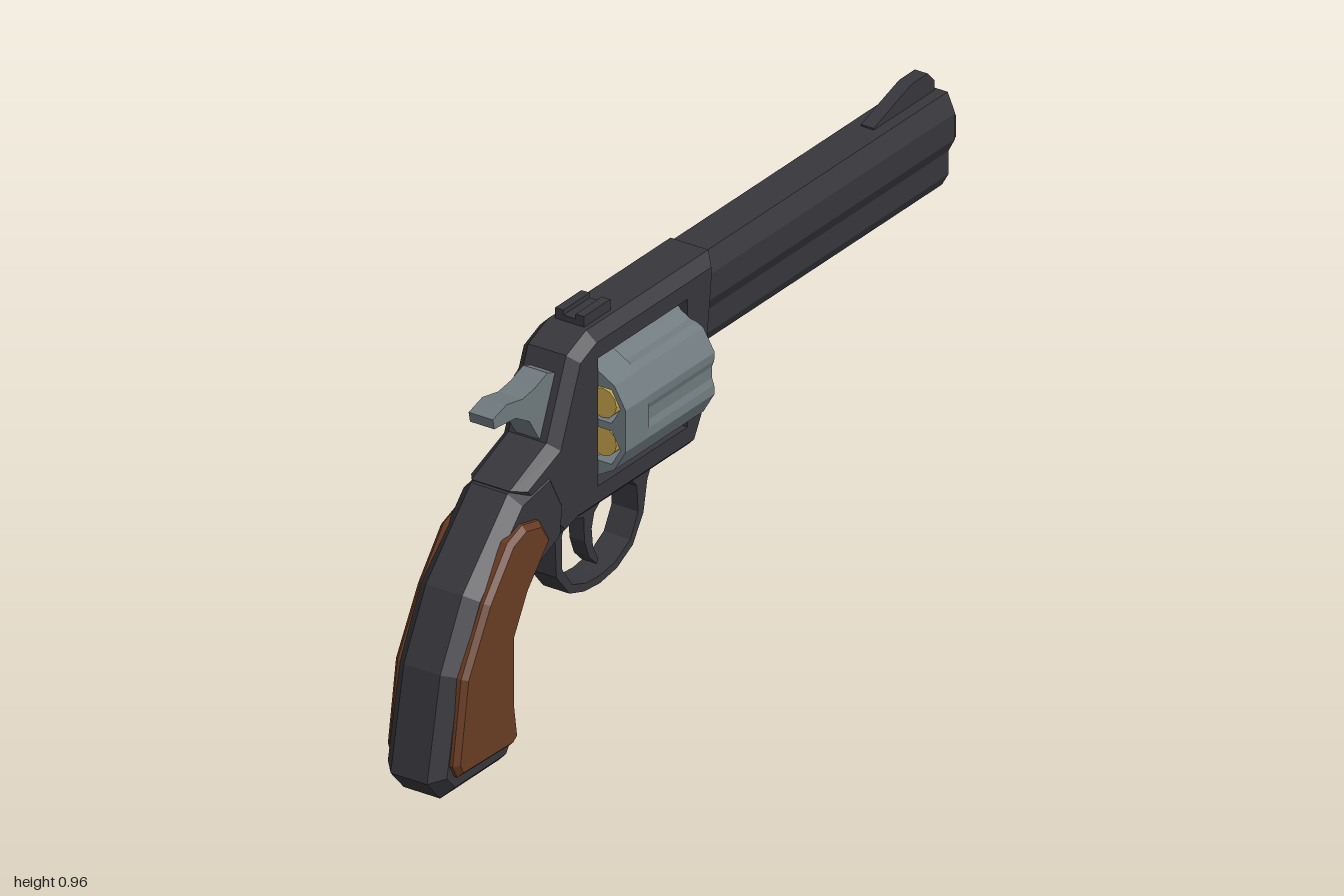
import * as THREE from 'three';

const mat = (name, color) => {
  const m = new THREE.MeshStandardMaterial({ color });
  m.name = name;
  return m;
};

const shapeOf = (pts) => new THREE.Shape(pts.map(([a, b]) => new THREE.Vector2(a, b)));

// Solid of the given total thickness, centred on its own axis; the bevel cuts into the outline
function extrude(shape, thickness, bevelSize = 0, bevelDepth = 0) {
  const depth = thickness - 2 * bevelDepth;
  const g = new THREE.ExtrudeGeometry(shape, {
    depth, bevelEnabled: bevelSize > 0, bevelSegments: 1,
    bevelSize, bevelThickness: bevelDepth, bevelOffset: -bevelSize, curveSegments: 8,
  });
  return g.translate(0, 0, -depth / 2);
}

// Side profile in (z, y), extruded across x
const sideProfile = (shape, thickness, s, d) => extrude(shape, thickness, s, d).rotateY(-Math.PI / 2);

// Cross-section in (x, y), running from z0 to z1
const section = (shape, z0, z1) => extrude(shape, z1 - z0).translate(0, 0, (z0 + z1) / 2);

function flat(geometry) {
  const g = geometry.toNonIndexed();
  g.computeVertexNormals();
  return g;
}

export function createModel() {
  const model = new THREE.Group();
  model.name = 'revolver';
  const dark = mat('gunmetal', 0x37363c);
  const steel = mat('steel', 0x6f7a7e);
  const wood = mat('wood', 0x673b23);
  const brass = mat('brass', 0xc0a04a);
  const add = (name, geometry, material, parent = model) => {
    const m = new THREE.Mesh(geometry, material);
    m.name = name;
    parent.add(m);
    return m;
  };

  // Frame with a straight-walled window for the drum
  const win = { z0: 0.05, z1: 0.39, y0: 0.533, y1: 0.845 };
  const frameShape = shapeOf([
    [-0.065, 0.91], [-0.065, 0.85], [-0.027, 0.535], [0.01, 0.468], [0.46, 0.468], [0.52, 0.452],
    [0.60, 0.53], [0.69, 0.64], [0.55, 0.698], [0.475, 0.88], [0.40, 0.91],
  ]);
  frameShape.holes.push(new THREE.Path([
    [win.z0, win.y0], [win.z0, win.y1], [win.z1, win.y1], [win.z1, win.y0],
  ].map(([z, y]) => new THREE.Vector2(z, y))));
  const s = 0.025;
  const frame = sideProfile(frameShape, 0.15, s, s);
  const p = frame.attributes.position;
  for (let i = 0; i < p.count; i++) {
    const y = p.getY(i), z = p.getZ(i), e = s + 0.001;
    if (z > win.z0 - e && z < win.z1 + e && y > win.y0 - e && y < win.y1 + e) {
      p.setY(i, THREE.MathUtils.clamp(y, win.y0, win.y1));
      p.setZ(i, THREE.MathUtils.clamp(z, win.z0, win.z1));
    }
  }
  frame.computeVertexNormals();
  add('frame', frame, dark);

  // Grip core and wooden panels
  add('grip', sideProfile(shapeOf([
    [0.695, 0.635], [0.56, 0.66], [0.50, 0.55], [0.51, 0.455], [0.63, 0.406], [0.684, 0.33],
    [0.70, 0.21], [0.69, 0.055], [0.727, 0], [0.95, 0], [1.0, 0.055], [0.95, 0.30], [0.866, 0.46],
  ]), 0.156, 0.03, 0.03), dark);
  const panelShape = shapeOf([
    [0.695, 0.57], [0.63, 0.555], [0.594, 0.50], [0.68, 0.405], [0.73, 0.315], [0.73, 0.155],
    [0.717, 0.07], [0.74, 0.053], [0.94, 0.058], [0.957, 0.09], [0.925, 0.29], [0.84, 0.44], [0.75, 0.55],
  ]);
  for (const [name, x] of [['leftGripPanel', 0.078], ['rightGripPanel', -0.074]]) {
    add(name, sideProfile(panelShape, 0.04, 0.012, 0.012), wood).position.x = x;
  }

  // Barrel with under-lug, hollow at the bore
  const half = [[0.045, 0.906], [0.065, 0.86], [0.065, 0.797], [0.047, 0.762], [0.047, 0.705], [0.03, 0.675]];
  const barrelShape = shapeOf([...half, ...half.map(([x, y]) => [-x, y]).reverse()]);
  const boreY = 0.82;
  barrelShape.holes.push(new THREE.Path().absarc(0, boreY, 0.04, 0, Math.PI * 2, true));
  add('barrel', section(barrelShape, -0.98, -0.04), dark);
  const muzzle = new THREE.LatheGeometry([
    [0.045, -0.01], [0.064, 0], [0.064, 0.022], [0.058, 0.03], [0.043, 0.03], [0.038, 0.02], [0.038, -0.4], [0, -0.4],
  ].map(([r, h]) => new THREE.Vector2(r, h)), 8, Math.PI / 8);
  add('muzzle', flat(muzzle.rotateX(-Math.PI / 2)), dark).position.set(0, boreY, -0.97);

  // Sights
  add('frontSight', sideProfile(shapeOf([
    [-0.74, 0.90], [-0.74, 0.91], [-0.80, 0.93], [-0.885, 0.957], [-0.945, 0.957], [-0.97, 0.93], [-0.97, 0.90],
  ].reverse()), 0.034), dark);
  add('rearSight', section(shapeOf([
    [-0.038, 0.90], [0.038, 0.90], [0.038, 0.936], [0.016, 0.936], [0.016, 0.924],
    [-0.016, 0.924], [-0.016, 0.936], [-0.038, 0.936],
  ]), 0.29, 0.39), dark);

  // Drum: six through holes, shallow flutes on the forward part
  const drum = new THREE.Group();
  drum.name = 'drum';
  drum.position.y = 0.687;
  model.add(drum);
  const polar = (r, a) => [r * Math.cos(a), r * Math.sin(a)];
  const drumShape = (fluted) => {
    const outline = [];
    for (let k = 0; k < 6; k++) {
      const a = (k * Math.PI) / 3;
      if (fluted) outline.push(polar(0.149, a - 0.2), polar(0.141, a - 0.1), polar(0.141, a + 0.1), polar(0.149, a + 0.2));
      outline.push(polar(0.156, a + 0.33), polar(0.156, a + Math.PI / 3 - 0.33));
    }
    const shape = shapeOf(outline);
    for (let k = 0; k < 6; k++) {
      const [cx, cy] = polar(0.1, Math.PI / 6 + (k * Math.PI) / 3);
      const hole = [];
      for (let j = 0; j < 6; j++) {
        const [x, y] = polar(0.047, (-j * Math.PI) / 3);
        hole.push(new THREE.Vector2(cx + x, cy + y));
      }
      shape.holes.push(new THREE.Path(hole));
    }
    return shape;
  };
  add('drumRear', section(drumShape(false), 0.30, 0.389), steel, drum);
  add('drumFront', section(drumShape(true), 0.051, 0.30), steel, drum);
  for (let k = 0; k < 6; k++) {
    const [x, y] = polar(0.093, Math.PI / 6 + (k * Math.PI) / 3);
    const round = new THREE.CylinderGeometry(0.036, 0.036, 0.315, 12).rotateX(Math.PI / 2);
    add('cartridge', flat(round), brass, drum).position.set(x, y, 0.222);
  }

  // Hammer
  add('hammer', sideProfile(shapeOf([
    [0.727, 0.825], [0.675, 0.84], [0.615, 0.828], [0.567, 0.835], [0.52, 0.852], [0.49, 0.84],
    [0.48, 0.75], [0.54, 0.69], [0.555, 0.71], [0.588, 0.762], [0.64, 0.792], [0.722, 0.80],
  ]), 0.064), steel);

  // Trigger guard and trigger
  add('triggerGuard', sideProfile(shapeOf([
    [0.53, 0.47], [0.495, 0.43], [0.49, 0.34], [0.44, 0.28], [0.385, 0.262], [0.325, 0.257], [0.26, 0.267],
    [0.20, 0.298], [0.16, 0.36], [0.145, 0.435], [0.12, 0.48], [0.225, 0.48], [0.185, 0.435], [0.18, 0.37],
    [0.21, 0.315], [0.265, 0.285], [0.325, 0.276], [0.38, 0.28], [0.43, 0.298], [0.468, 0.35], [0.47, 0.43], [0.45, 0.48],
  ]), 0.07), dark);
  add('trigger', sideProfile(shapeOf([
    [0.415, 0.48], [0.40, 0.44], [0.365, 0.43], [0.362, 0.37], [0.345, 0.325], [0.315, 0.295],
    [0.31, 0.305], [0.33, 0.345], [0.335, 0.39], [0.325, 0.425], [0.30, 0.445], [0.29, 0.48],
  ]), 0.04), dark);

  return model;
}
